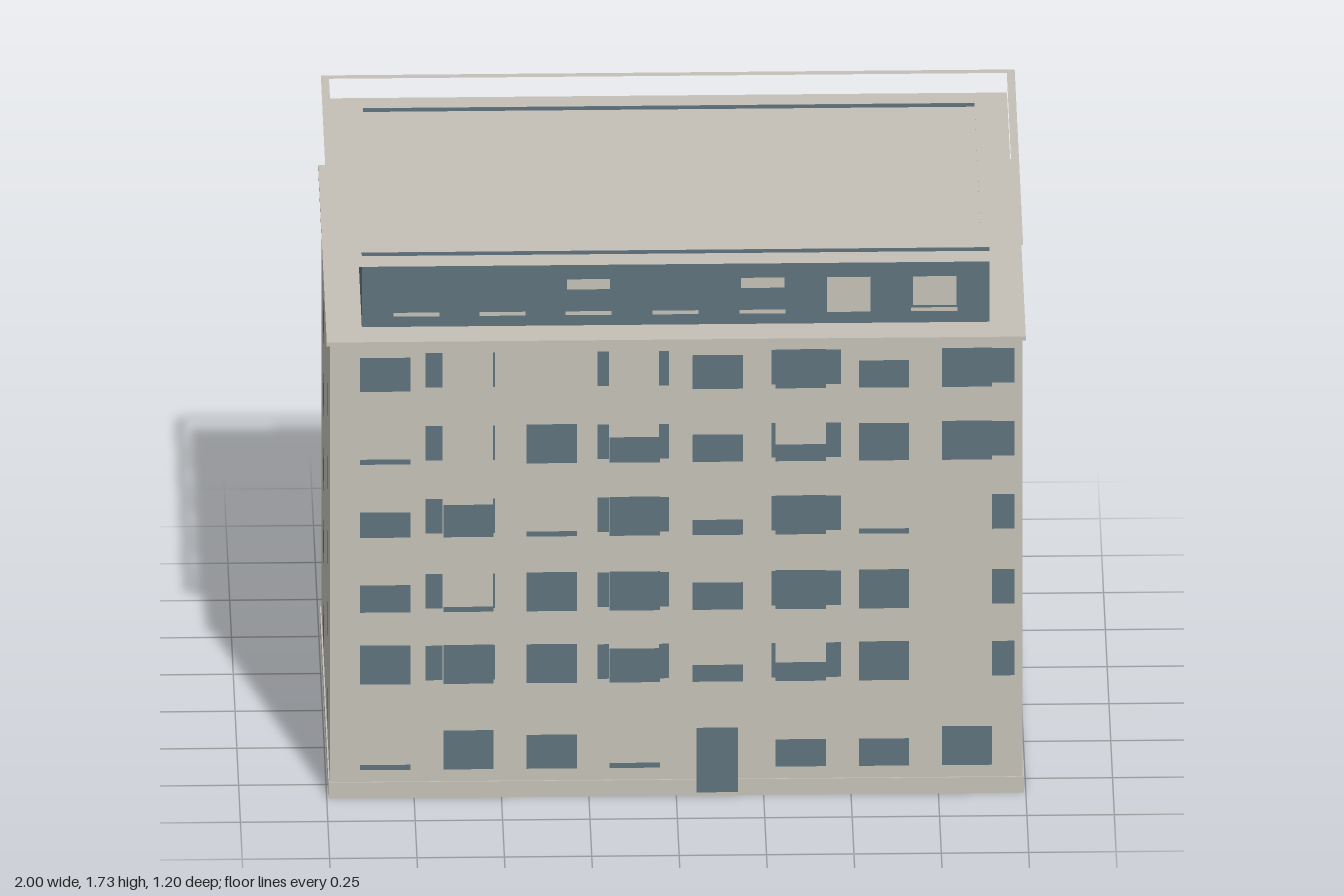
import * as THREE from 'three';

export function createModel() {
  const model = new THREE.Group();
  model.name = 'apartmentBlock';
  const stone = new THREE.MeshStandardMaterial({ color: 0xc4c0b7, side: THREE.DoubleSide });
  stone.name = 'warm grey stone';
  const glass = new THREE.MeshStandardMaterial({ color: 0x5f727d });
  glass.name = 'slate blue';

  function add(parent, name, geometry, material, x = 0, y = 0, z = 0) {
    const mesh = new THREE.Mesh(geometry, material);
    mesh.name = name;
    mesh.position.set(x, y, z);
    parent.add(mesh);
    return mesh;
  }
  function group(name) {
    const g = new THREE.Group();
    g.name = name;
    model.add(g);
    return g;
  }
  // Rectangle outline with a matching rectangular hole
  function ringShape(w, d, border) {
    const outline = (hw, hd) => [[-hw, -hd], [hw, -hd], [hw, hd], [-hw, hd]].map(p => new THREE.Vector2(...p));
    const shape = new THREE.Shape(outline(w / 2, d / 2));
    shape.holes.push(new THREE.Path(outline(w / 2 - border, d / 2 - border).reverse()));
    return shape;
  }
  // Flat horizontal ring
  const flatRing = (name, w, d, border, y) =>
    add(model, name, new THREE.ShapeGeometry(ringShape(w, d, border)).rotateX(-Math.PI / 2), stone, 0, y, 0);
  // Four walls standing between two heights
  function wallRing(name, w, d, border, y0, y1, mat) {
    const geo = new THREE.ExtrudeGeometry(ringShape(w, d, border), { depth: y1 - y0, bevelEnabled: false });
    add(model, name, geo.rotateX(-Math.PI / 2), mat, 0, y0, 0);
  }
  // Thin painted face on a wall; turn is its heading about y
  function plate(parent, name, w, h, x, y, z, mat, turn = 0) {
    add(parent, name, new THREE.PlaneGeometry(w, h), mat, x, y, z).rotation.y = turn;
  }
  const frontPlate = (parent, name, x0, x1, y0, y1, z, mat) =>
    plate(parent, name, x1 - x0, y1 - y0, (x0 + x1) / 2, (y0 + y1) / 2, z, mat);

  // Walls, open underneath
  const wallGeo = new THREE.BoxGeometry(1.98, 1.43, 1.18);
  const faces = Array.from(wallGeo.index.array);
  faces.splice(18, 6);
  wallGeo.setIndex(faces);
  wallGeo.clearGroups();
  add(model, 'walls', wallGeo, stone, 0, 0.715, 0);

  wallRing('plinth', 1.99, 1.19, 0.004, 0, 0.05, stone);
  add(model, 'cornice', new THREE.BoxGeometry(2, 0.012, 1.2), stone, 0, 1.436, 0);

  // Penthouse, overhanging roof sheet, coping and the rail frame floating above
  wallRing('penthouse', 1.795, 0.996, 0.022, 1.442, 1.677, glass);
  add(model, 'roofSheet', new THREE.PlaneGeometry(1.94, 1.14).rotateX(-Math.PI / 2), stone, 0, 1.666, 0);
  flatRing('roofCoping', 1.8, 1, 0.025, 1.6785);
  flatRing('roofRail', 1.985, 1.185, 0.023, 1.728);

  // Front windows: the glass rises to a different height in every opening
  const wallFront = 0.5915;
  const sills = [0.087, 0.357, 0.584, 0.82, 1.051, 1.281];
  const heights = [
    [0.016, 0.123, 0.107, 0.016, 0, 0.086, 0.086, 0.123],
    [0.123, 0.123, 0.123, 0.107, 0.053, 0.059, 0.123, 0],
    [0.086, 0.016, 0.123, 0.123, 0.086, 0.123, 0.123, 0],
    [0.08, 0.102, 0.016, 0.123, 0.048, 0.123, 0.016, 0],
    [0.016, 0, 0.123, 0.08, 0.086, 0.053, 0.118, 0.123],
    [0.107, 0, 0, 0, 0.107, 0.123, 0.086, 0.123],
  ];
  const frontWindows = group('frontWindows');
  heights.forEach((row, r) => row.forEach((h, c) => {
    if (!h) return;
    const x = -0.832 + c * 0.2377;
    frontPlate(frontWindows, 'frontWindow', x - 0.072, x + 0.072, sills[r], sills[r] + h, wallFront, glass);
  }));

  // Narrow glass strips beside the windows of the upper floors
  const strips = [[-0.717, -0.668], [-0.524, -0.519], [-0.225, -0.193], [-0.049, -0.021],
    [0.272, 0.284], [0.428, 0.471], [0.904, 0.968]];
  const balconyGlass = group('balconyGlass');
  for (const sill of sills.slice(1))
    for (const [x0, x1] of strips)
      frontPlate(balconyGlass, 'balconyStrip', x0, x1, sill + 0.012, sill + 0.121, wallFront, glass);

  frontPlate(model, 'entranceDoor', 0.058, 0.176, 0.01, 0.214, 0.5965, glass);

  // Regular windows on the back and both ends
  const backWindows = group('backWindows');
  const endWindows = group('endWindows');
  for (const sill of sills) {
    const y = sill + 0.052;
    for (const x of [-0.705, -0.235, 0.235, 0.705])
      plate(backWindows, 'backWindow', 0.124, 0.105, x, y, -wallFront, glass, Math.PI);
    for (const side of [-1, 1])
      for (const z of [-0.263, 0.263])
        plate(endWindows, 'endWindow', 0.124, 0.105, side * 0.9915, y, z, glass, side * Math.PI / 2);
  }

  // Pale sills and blinds on the penthouse front
  const trim = group('penthouseTrim');
  const trimFront = 0.4995;
  for (const x of [-0.741, -0.495, -0.249, 0, 0.249])
    frontPlate(trim, 'penthouseSill', x - 0.066, x + 0.066, 1.475, 1.487, trimFront, stone);
  frontPlate(trim, 'penthouseSill', 0.674, 0.807, 1.478, 1.49, trimFront, stone);
  const blinds = [[-0.249, 1.556], [0.249, 1.556], [0.495, 1.478], [0.741, 1.497]];
  for (const [x, y0] of blinds)
    frontPlate(trim, 'penthouseBlind', x - 0.062, x + 0.062, y0, 1.588, trimFront, stone);

  return model;
}
